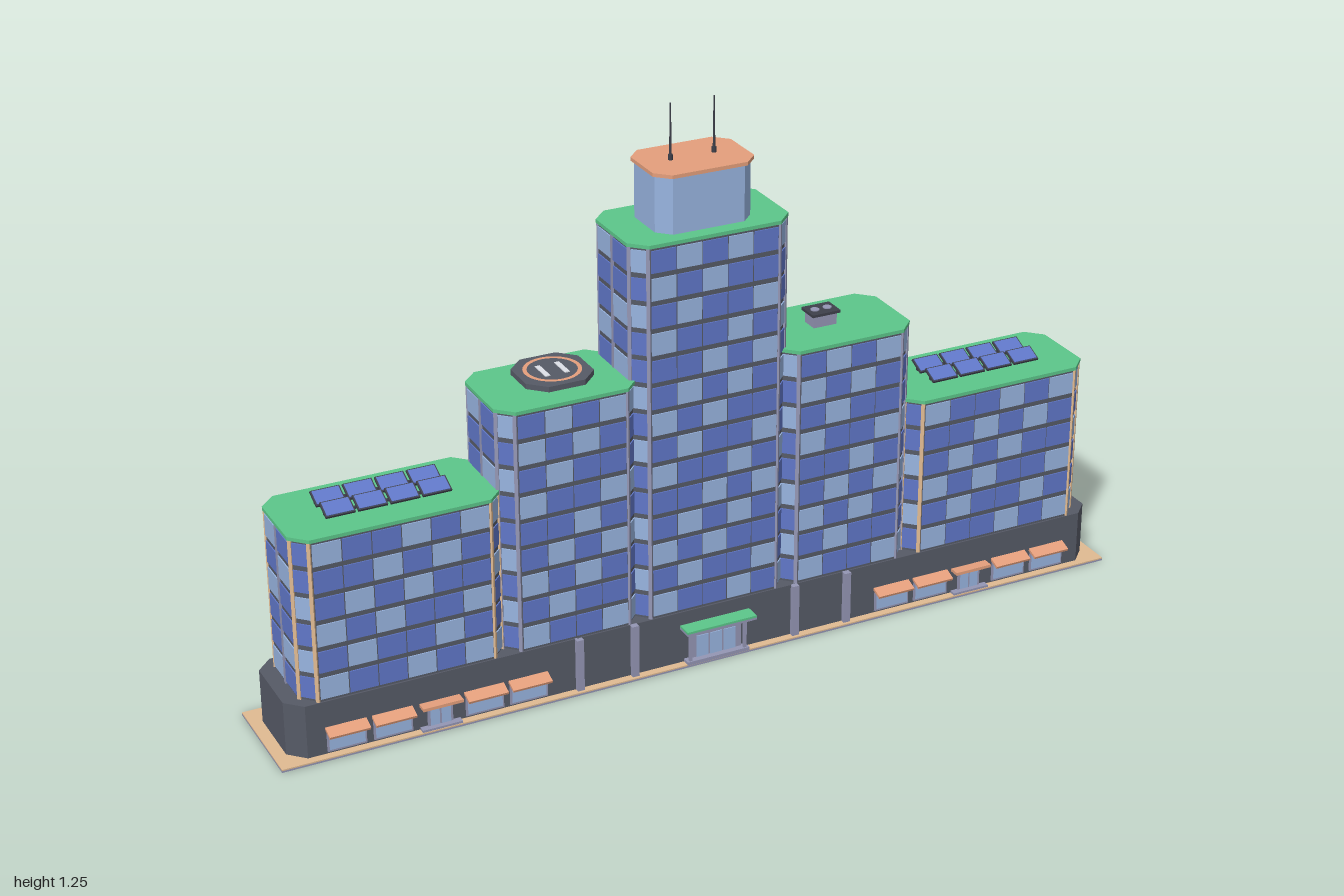
import * as THREE from 'three';
import { mergeGeometries } from 'three/addons/utils/BufferGeometryUtils.js';

const mat = (name, color) => {
  const m = new THREE.MeshStandardMaterial({ color });
  m.name = name;
  return m;
};

export function createModel() {
  const M = {
    slate: mat('slate wall', 0x565a66),
    dark: mat('dark metal', 0x3e404b),
    blue: mat('blue glass', 0x6077c8),
    pale: mat('pale glass', 0x98b4e0),
    green: mat('green roof', 0x5cc68a),
    copper: mat('copper', 0xe49f7c),
    tan: mat('tan stone', 0xe0ba92),
    trim: mat('lavender trim', 0x9496b4),
    white: mat('white paint', 0xe6e9f0),
  };
  const model = new THREE.Group();
  model.name = 'officeComplex';
  const ZC = -0.0075, BASE = 0.13, FLOOR = 0.0613, CUT = 0.035;

  const add = (name, geometry, material, parent = model) => {
    const mesh = new THREE.Mesh(geometry, material);
    mesh.name = name;
    parent.add(mesh);
    return mesh;
  };
  const boxGeo = (w, h, d, x, y, z, turn = 0) =>
    new THREE.BoxGeometry(w, h, d).rotateY(turn).translate(x, y, z);
  const box = (name, w, h, d, x, y, z, material, parent) =>
    add(name, boxGeo(w, h, d, x, y, z), material, parent);
  const group = (name, parent = model) => {
    const g = new THREE.Group();
    g.name = name;
    parent.add(g);
    return g;
  };

  // Corner points of a rectangle with cut corners, starting at front left, counterclockwise
  const outline = (w, d, c) => {
    const a = w / 2, b = d / 2;
    return [[-a + c, b], [a - c, b], [a, b - c], [a, -b + c],
      [a - c, -b], [-a + c, -b], [-a, -b + c], [-a, b - c]];
  };
  const prism = (w, d, c, h, x, y, z = ZC) => {
    const shape = new THREE.Shape(outline(w, d, c).map(([px, pz]) => new THREE.Vector2(px, -pz)));
    return new THREE.ExtrudeGeometry(shape, { depth: h, bevelEnabled: false })
      .rotateX(-Math.PI / 2).translate(x, y, z);
  };

  // Tower with window grid; plusFrom and minusFrom are the first exposed floors on the ends
  function tower(name, x, w, rows, pier, plusFrom, minusFrom) {
    const g = group(name);
    const depth = 0.208, h = rows * FLOOR;
    add('walls', prism(w, depth, CUT, h, x, BASE), M.slate, g);
    add('roof', prism(w + 0.008, depth + 0.008, CUT, 0.008, x, BASE + h), M.green, g);
    const panes = { blue: [], pale: [] }, piers = [], mullions = [];
    const pts = outline(w, depth, CUT);
    pts.forEach(([ax, az], i) => {
      const [bx, bz] = pts[(i + 1) % 8];
      const len = Math.hypot(bx - ax, bz - az), turn = -Math.atan2(bz - az, bx - ax);
      const cols = Math.max(1, Math.round(len / 0.065));
      const corner = i % 2 === 1;
      const first = i === 2 ? plusFrom : i === 6 ? minusFrom : 0;
      const at = (t, pw, ph, d, y) =>
        boxGeo(pw, ph, d, x + ax + (bx - ax) * t, y, ZC + az + (bz - az) * t, turn);
      // Staggered pale and blue panes
      for (let r = first; r < rows; r++) {
        for (let c = 0; c < cols; c++) {
          const tint = (c * 2 + r * 3 + i) % 5 < 2 ? 'pale' : 'blue';
          panes[tint].push(at((c + 0.5) / cols, len / cols - 0.003, FLOOR - 0.012, 0.005, BASE + (r + 0.5) * FLOOR));
        }
      }
      // Piers frame each cut corner, and a mullion divides each end
      if (corner) for (const t of [0.08, 0.92]) piers.push(at(t, 0.008, h, 0.009, BASE + h / 2));
      else if (cols === 2 && first < rows) {
        mullions.push(at(0.5, 0.008, (rows - first) * FLOOR, 0.008, BASE + (rows + first) / 2 * FLOOR));
      }
    });
    add('blueWindows', mergeGeometries(panes.blue), M.blue, g);
    add('paleWindows', mergeGeometries(panes.pale), M.pale, g);
    add('cornerPiers', mergeGeometries(piers), pier, g);
    if (mullions.length) add('endMullions', mergeGeometries(mullions), M.trim, g);
  }

  // Pavement and podium
  box('foundation', 2, 0.004, 0.25, 0, 0.002, ZC, M.trim);
  box('pavement', 2, 0.003, 0.25, 0, 0.0055, ZC, M.tan);
  add('podium', prism(1.945, 0.215, CUT, BASE - 0.004, 0, 0.004), M.slate);

  // Stepped towers
  tower('centreTower', 0, 0.365, 14, M.trim, 9, 9);
  tower('leftMiddleTower', 0.328, 0.315, 9, M.trim, 6, 99);
  tower('rightMiddleTower', -0.328, 0.315, 9, M.trim, 99, 6);
  tower('leftWing', 0.71, 0.455, 6, M.tan, 0, 99);
  tower('rightWing', -0.71, 0.455, 6, M.tan, 99, 0);

  // Penthouse crown with antennas
  const crown = group('crown');
  add('penthouse', prism(0.22, 0.152, 0.028, 0.124, 0, 0.996), M.pale, crown);
  add('crownRoof', prism(0.232, 0.164, 0.03, 0.008, 0, 1.12), M.copper, crown);
  for (const s of [-1, 1]) {
    add('antennaFoot', new THREE.CylinderGeometry(0.005, 0.005, 0.012, 8).translate(s * 0.05, 1.134, ZC), M.dark, crown);
    add('antenna', new THREE.CylinderGeometry(0.0015, 0.003, 0.122, 8).translate(s * 0.05, 1.19, ZC), M.dark, crown);
  }

  // Landing pad on the right middle tower
  const pad = group('landingPad');
  pad.position.set(-0.322, 0.69, -0.012);
  add('padBase', prism(0.085, 0.085, 0.02, 0.012, 0, 0, 0), M.dark, pad);
  add('padDeck', prism(0.154, 0.15, 0.036, 0.012, 0, 0.009, 0), M.slate, pad);
  add('padRing', new THREE.RingGeometry(0.053, 0.062, 32).rotateX(-Math.PI / 2).translate(0, 0.0225, 0), M.copper, pad);
  for (const s of [-1, 1]) box('padStripe', 0.011, 0.002, 0.054, s * 0.022, 0.022, 0, M.white, pad);

  // Ventilation unit on the left middle tower
  const vent = group('ventilationUnit');
  vent.position.set(0.312, 0.689, 0);
  box('ventBody', 0.056, 0.028, 0.04, 0, 0.014, -0.011, M.trim, vent);
  box('ventTop', 0.068, 0.006, 0.052, 0, 0.031, -0.011, M.dark, vent);
  for (const s of [-1, 1]) {
    add('ventFan', new THREE.CylinderGeometry(0.01, 0.01, 0.003, 12).translate(s * 0.015, 0.0345, -0.011), M.trim, vent);
  }

  // Solar panels on both wings, tilted to the front
  for (const s of [-1, 1]) {
    const solar = group(s > 0 ? 'leftSolarPanels' : 'rightSolarPanels');
    for (const z of [-0.038, 0.018]) {
      box('panelRail', 0.27, 0.005, 0.006, s * 0.71, 0.512, z, M.dark, solar);
      for (let i = 0; i < 4; i++) {
        const p = group('solarPanel', solar);
        p.position.set(s * (0.605 + i * 0.07), 0.52, z);
        p.rotation.x = 0.42;
        box('panelFrame', 0.064, 0.005, 0.041, 0, 0, 0, M.dark, p);
        box('panelGlass', 0.058, 0.002, 0.035, 0, 0.003, 0, M.blue, p);
        box('panelLeg', 0.006, 0.014, 0.006, 0, -0.007, -0.008, M.dark, p);
      }
    }
  }

  // Shop fronts and pilasters, mirrored
  const front = 0.1;
  for (const s of [-1, 1]) {
    const shops = group(s > 0 ? 'leftShops' : 'rightShops');
    for (const x of [0.443, 0.544, 0.75, 0.852]) {
      box('shopFrame', 0.086, 0.05, 0.006, s * x, 0.037, front + 0.001, M.trim, shops);
      box('shopWindow', 0.078, 0.04, 0.004, s * x, 0.037, front + 0.004, M.pale, shops);
      const awning = box('awning', 0.09, 0.006, 0.03, 0, 0, 0, M.copper, shops);
      awning.position.set(s * x, 0.062, front + 0.012);
      awning.rotation.x = 0.35;
    }
    box('doorFrame', 0.056, 0.054, 0.006, s * 0.645, 0.033, front + 0.001, M.trim, shops);
    for (const d of [-1, 1]) box('shopDoor', 0.02, 0.042, 0.004, s * 0.645 + d * 0.0125, 0.034, front + 0.004, M.pale, shops);
    box('doorCanopy', 0.09, 0.007, 0.024, s * 0.645, 0.065, front + 0.012, M.copper, shops);
    box('doorStep', 0.09, 0.006, 0.016, s * 0.645, 0.009, front + 0.008, M.trim, shops);
    for (const x of [0.195, 0.325]) {
      box('pilaster', 0.016, 0.126, 0.014, s * x, 0.067, front + 0.004, M.trim);
    }
  }

  // Main entrance
  const entry = group('mainEntrance');
  box('entranceFrame', 0.124, 0.078, 0.006, 0, 0.046, front + 0.002, M.trim, entry);
  box('transom', 0.1, 0.01, 0.004, 0, 0.077, front + 0.005, M.pale, entry);
  for (let i = -1; i <= 1; i++) box('entranceDoor', 0.029, 0.052, 0.004, i * 0.033, 0.04, front + 0.005, M.pale, entry);
  box('entranceCanopy', 0.168, 0.005, 0.038, 0, 0.091, front + 0.017, M.trim, entry);
  box('canopyTop', 0.168, 0.005, 0.038, 0, 0.096, front + 0.017, M.green, entry);
  box('entranceStep', 0.15, 0.008, 0.02, 0, 0.01, front + 0.01, M.trim, entry);
  for (const s of [-1, 1]) box('canopyPost', 0.007, 0.08, 0.007, s * 0.066, 0.05, front + 0.014, M.trim, entry);

  return model;
}
